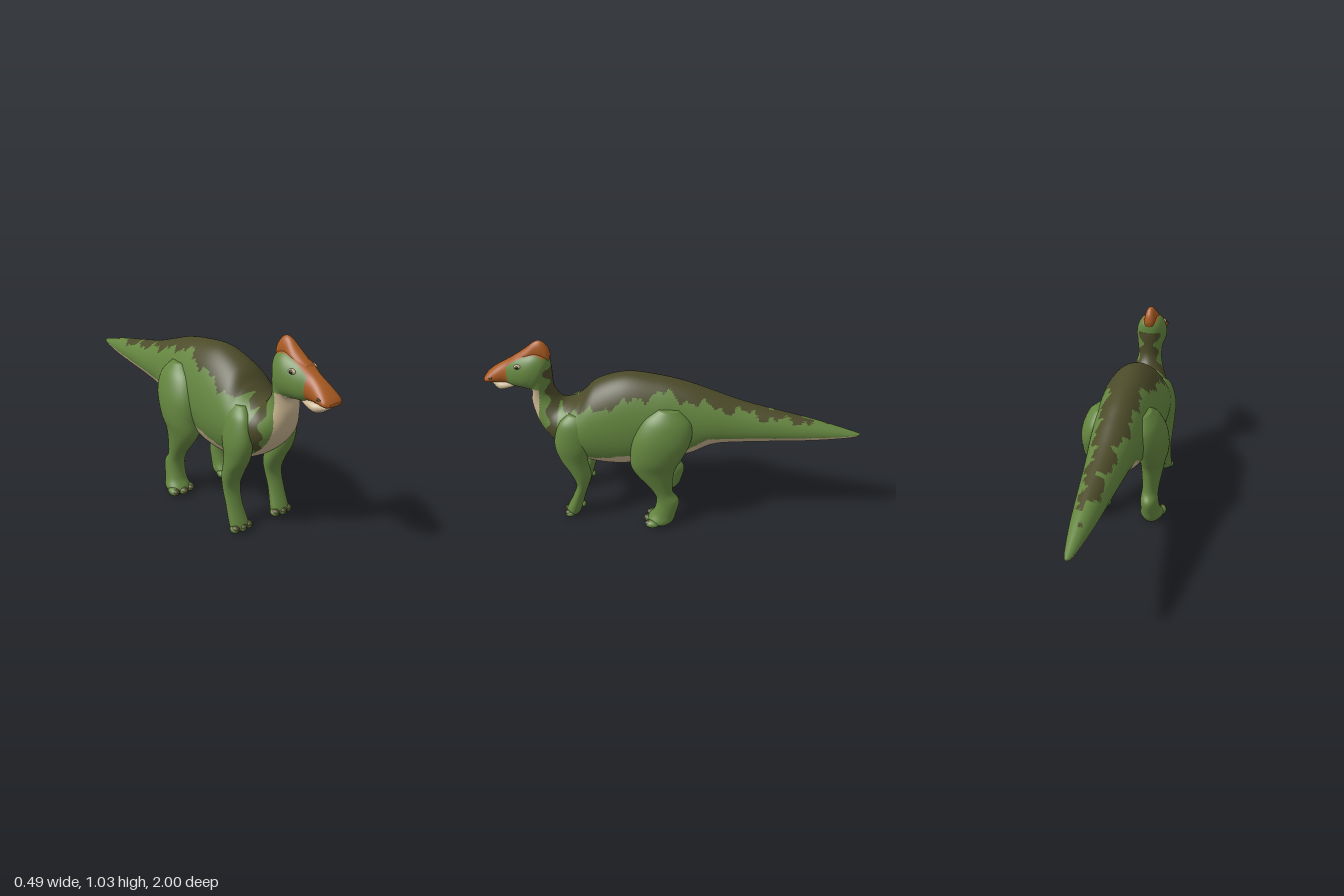
import * as THREE from 'three';

const mat = (name, color) => {
  const m = new THREE.MeshStandardMaterial({ color });
  m.name = name;
  return m;
};

// piecewise linear lookup in a list of [key, value]
function lookup(table, k) {
  if (k <= table[0][0]) return table[0][1];
  for (let i = 1; i < table.length; i++) {
    const [k0, v0] = table[i - 1], [k1, v1] = table[i];
    if (k <= k1) return v0 + (v1 - v0) * (k - k0) / (k1 - k0);
  }
  return table[table.length - 1][1];
}

// Smooth skin over oval rings, narrower towards the back/top. Each row:
// front/low point z, y; back/top point z, y; half width; centre x (optional).
// Rings after row boxyFrom turn squarer; rule gives each face a colour index.
function loft(rows, steps, sides, rule = () => 0, boxyFrom = Infinity) {
  const pos = [], faces = [];
  const at = (u, c) => {
    const i = Math.min(Math.floor(u), rows.length - 2), t = u - i;
    const g = n => rows[THREE.MathUtils.clamp(n, 0, rows.length - 1)][c] ?? 0;
    const a = g(i - 1), b = g(i), d = g(i + 1), e = g(i + 2);
    return b + 0.5 * t * (d - a + t * (2 * a - 5 * b + 4 * d - e + t * (3 * (b - d) + e - a)));
  };
  const n = (rows.length - 1) * steps;
  for (let i = -1; i <= n + 1; i++) {
    const u = THREE.MathUtils.clamp(i, 0, n) / steps;
    const s = i < 0 || i > n ? 0 : 1; // closed ends
    const [az, ay, bz, by, rx, cx] = [0, 1, 2, 3, 4, 5].map(c => at(u, c));
    const power = 1 - 0.22 * THREE.MathUtils.smoothstep(u, boxyFrom, boxyFrom + 2);
    for (let j = 0; j < sides; j++) {
      const a = j / sides * Math.PI * 2, v = Math.cos(a), w = Math.sin(a);
      pos.push(cx + s * rx * Math.sign(w) * Math.abs(w) ** power * (1 - 0.11 * v),
        (ay + by) / 2 + s * v * (by - ay) / 2,
        (az + bz) / 2 + s * v * (bz - az) / 2);
    }
  }
  for (let i = 0; i < n + 2; i++) for (let j = 0; j < sides; j++) {
    const a = i * sides + j, b = i * sides + (j + 1) % sides;
    if (i <= n) faces.push([a, a + sides, b + sides]);
    if (i > 0) faces.push([a, b + sides, b]);
  }
  // sort faces into colour groups by the position of their centre
  const bins = [[], [], [], []];
  for (const f of faces) {
    const c = [0, 1, 2].map(k => (pos[f[0] * 3 + k] + pos[f[1] * 3 + k] + pos[f[2] * 3 + k]) / 3);
    bins[rule(...c)].push(...f);
  }
  const geo = new THREE.BufferGeometry();
  geo.setAttribute('position', new THREE.Float32BufferAttribute(pos, 3));
  geo.setIndex(bins.flat());
  let start = 0;
  bins.forEach((b, i) => { geo.addGroup(start, b.length, i); start += b.length; });
  geo.computeVertexNormals();
  return geo;
}

// tail, torso, neck and head in one sweep
const BODY = [
  [-1, 0.565, -1, 0.574, 0.005],
  [-0.95, 0.55, -0.95, 0.588, 0.024],
  [-0.75, 0.525, -0.75, 0.642, 0.058],
  [-0.4, 0.5, -0.4, 0.72, 0.1],
  [-0.23, 0.475, -0.2, 0.785, 0.125],
  [-0.1, 0.405, -0.08, 0.825, 0.145],
  [0.06, 0.37, 0.06, 0.853, 0.165],
  [0.25, 0.318, 0.24, 0.866, 0.181],
  [0.44, 0.33, 0.4, 0.812, 0.183],
  [0.56, 0.385, 0.475, 0.737, 0.168],
  [0.66, 0.47, 0.53, 0.693, 0.14],
  [0.725, 0.56, 0.585, 0.685, 0.104],
  [0.757, 0.67, 0.63, 0.75, 0.071],
  [0.748, 0.742, 0.638, 0.87, 0.075],
  [0.77, 0.758, 0.65, 0.945, 0.085],
  [0.8, 0.765, 0.71, 0.972, 0.087],
  [0.84, 0.77, 0.8, 0.948, 0.074],
  [0.88, 0.782, 0.875, 0.907, 0.054],
  [0.935, 0.785, 0.94, 0.867, 0.056],
  [0.98, 0.786, 0.983, 0.832, 0.056],
  [1, 0.793, 1, 0.812, 0.036],
];
// colour borders: height by z for back and belly, front z by height for the chest
const BACK_EDGE = [[-1, 0.64], [-0.6, 0.65], [-0.2, 0.74], [0.05, 0.81], [0.3, 0.745], [0.45, 0.69], [0.6, 0.665]];
const BELLY_EDGE = [[-1, 0.568], [-0.2, 0.56], [0, 0.42], [0.22, 0.45], [0.4, 0.41], [0.57, 0.42]];
const CHEST_FRONT = [[0.4, 0.58], [0.47, 0.66], [0.55, 0.72], [0.64, 0.755], [0.78, 0.745]];

// 0 green, 1 dark back, 2 cream underside, 3 orange snout
function bodyColour(x, y, z) {
  const ripple = 0.014 * Math.sin(31 * z + Math.sign(x)) + 0.01 * Math.sin(73 * z + 2) + 0.005 * Math.sin(140 * z);
  if (y > 0.785 && z > 0.865) return 3;
  if (y > 0.87 && Math.abs(x) < 0.042 && z > Math.max(0.66, 1.493 - 0.9 * y)) return 3;
  if (z < 0.57 && y < lookup(BELLY_EDGE, z)) return 2;
  if (z >= 0.57 && y < 0.775 && Math.abs(x) < 0.08 && z > lookup(CHEST_FRONT, y) - 0.05) return 2;
  if (z < 0.6) return y > lookup(BACK_EDGE, z) + ripple ? 1 : 0;
  return y < 0.885 && z < 0.655 + 0.014 * Math.sin(y * 60) ? 1 : 0;
}

// legs, from the sole up
const HIND = [
  [0.11, 0.006, -0.01, 0.004, 0.05, 0.165],
  [0.12, 0.035, -0.028, 0.03, 0.066, 0.165],
  [0.085, 0.085, -0.04, 0.07, 0.056, 0.16],
  [0.07, 0.16, -0.056, 0.155, 0.05, 0.155],
  [0.095, 0.235, -0.02, 0.22, 0.047, 0.155],
  [0.198, 0.37, -0.03, 0.36, 0.067, 0.155],
  [0.205, 0.47, -0.07, 0.45, 0.086, 0.156],
  [0.19, 0.58, -0.115, 0.56, 0.09, 0.147],
  [0.14, 0.68, -0.115, 0.66, 0.077, 0.125],
  [0.06, 0.738, -0.05, 0.732, 0.04, 0.11],
];
const FORE = [
  [0.585, 0.008, 0.53, 0.006, 0.045, 0.135],
  [0.59, 0.035, 0.51, 0.025, 0.053, 0.135],
  [0.545, 0.135, 0.478, 0.135, 0.046, 0.14],
  [0.52, 0.225, 0.452, 0.215, 0.05, 0.138],
  [0.55, 0.31, 0.435, 0.28, 0.058, 0.135],
  [0.6, 0.4, 0.447, 0.38, 0.058, 0.138],
  [0.62, 0.5, 0.43, 0.48, 0.058, 0.14],
  [0.59, 0.61, 0.43, 0.6, 0.042, 0.13],
  [0.54, 0.66, 0.46, 0.66, 0.02, 0.11],
];
const CREST = [
  [0.637, 0.935, 0.634, 0.955, 0.012],
  [0.65, 0.91, 0.645, 0.995, 0.027],
  [0.68, 0.91, 0.675, 1.028, 0.032],
  [0.71, 0.91, 0.712, 1.024, 0.034],
  [0.76, 0.91, 0.765, 0.982, 0.04],
  [0.84, 0.9, 0.84, 0.93, 0.03],
];
const JAW = [
  [0.82, 0.768, 0.82, 0.785, 0.03],
  [0.87, 0.75, 0.87, 0.795, 0.046],
  [0.92, 0.738, 0.92, 0.795, 0.046],
  [0.962, 0.764, 0.964, 0.78, 0.014],
];

export function createModel() {
  const model = new THREE.Group();
  const green = mat('green skin', 0x64853f), dark = mat('dark olive', 0x4b4a29);
  const cream = mat('cream underside', 0xc6b28e), orange = mat('orange crest', 0xaa5b22);
  const black = mat('eye dark', 0x28221a);
  const add = (name, geo, material) => {
    const mesh = new THREE.Mesh(geo, material);
    mesh.name = name;
    model.add(mesh);
    return mesh;
  };
  const ball = new THREE.SphereGeometry(1, 20, 14);
  const blob = (name, material, p, s) => {
    const mesh = add(name, ball, material);
    mesh.position.set(...p);
    mesh.scale.set(...s);
  };

  add('body', loft(BODY, 15, 88, bodyColour, 12), [green, dark, cream, orange]);
  add('crest', loft(CREST, 6, 28), orange);
  add('lowerJaw', loft(JAW, 6, 28), cream);

  for (const side of [1, -1]) {
    const label = side > 0 ? 'left' : 'right';
    const mirror = rows => rows.map(r => r.map((v, i) => i === 5 ? v * side : v));
    add(label + 'HindLeg', loft(mirror(HIND), 6, 36), green);
    add(label + 'FrontLeg', loft(mirror(FORE), 6, 32), green);

    // toes with dark nails
    for (const d of [-1, 0, 1]) {
      const hx = side * (0.167 + d * 0.049), hz = 0.1 - Math.abs(d) * 0.012;
      blob(label + 'HindToe', green, [hx, 0.024, hz], [0.027, 0.022, 0.04]);
      blob(label + 'HindNail', dark, [hx, 0.028, hz + 0.018], [0.02, 0.016, 0.025]);
      const fx = side * (0.133 + d * 0.042), fz = 0.575 - Math.abs(d) * 0.008;
      blob(label + 'FrontToe', green, [fx, 0.021, fz], [0.023, 0.019, 0.027]);
      blob(label + 'FrontNail', dark, [fx, 0.028, fz + 0.006], [0.019, 0.015, 0.023]);
    }
    blob(label + 'Spur', green, [side * 0.14, 0.07, 0.492], [0.016, 0.018, 0.014]);

    // eye and nostril
    blob(label + 'EyeRim', cream, [side * 0.064, 0.904, 0.795], [0.012, 0.013, 0.021]);
    blob(label + 'Pupil', black, [side * 0.068, 0.904, 0.797], [0.011, 0.011, 0.013]);
    blob(label + 'Nostril', dark, [side * 0.056, 0.822, 0.955], [0.004, 0.006, 0.011]);
  }
  return model;
}
